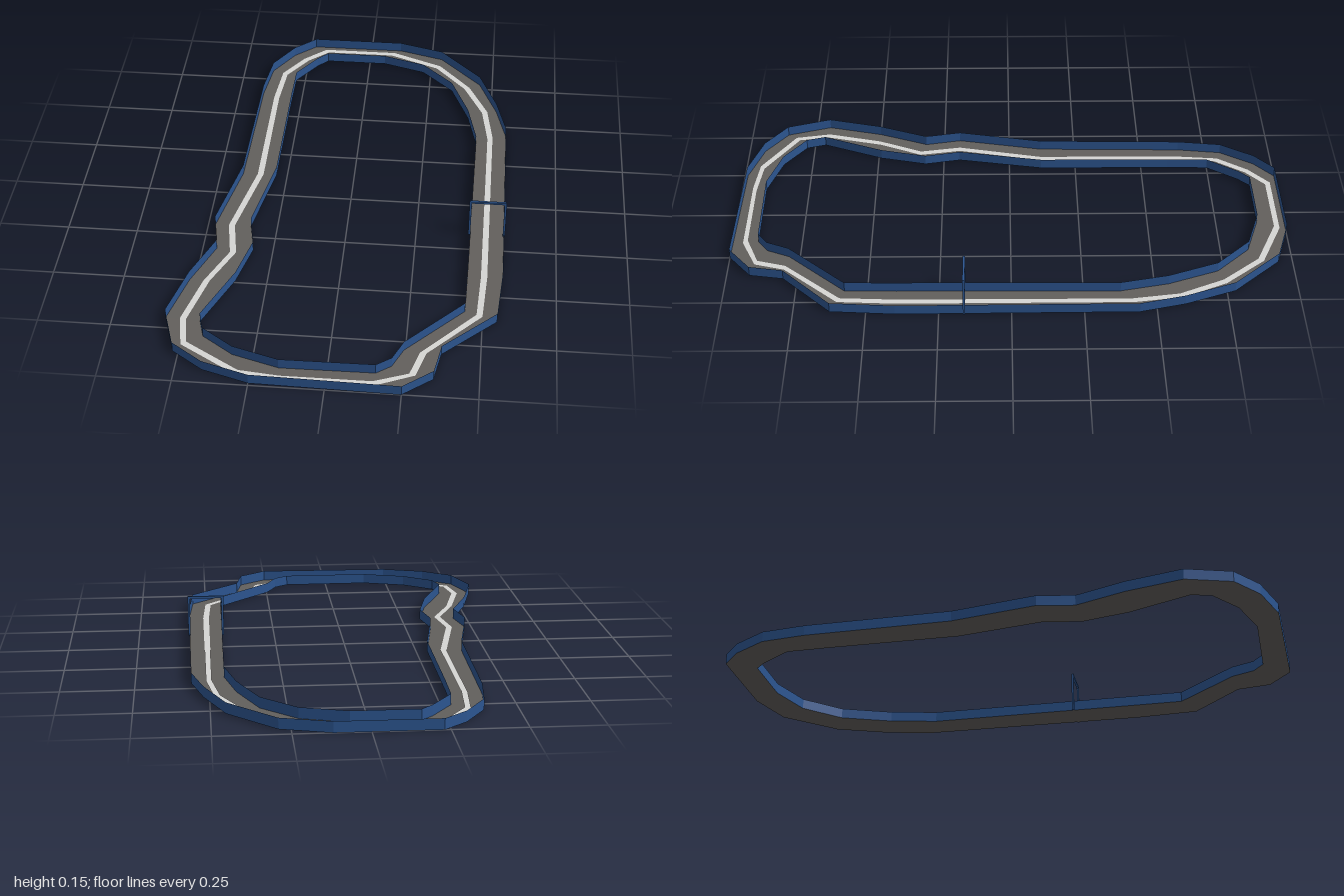
import * as THREE from 'three';

const WALL_HEIGHT = 0.038;

// Cross-sections round the circuit: outer x, z, inner x, z, centre line x, z
const SECTIONS = [
  [-0.23, -1.0, -0.17, -0.9, -0.18, -0.97],
  [0.12, -1.0, 0.06, -0.9, 0.09, -0.97],
  [0.29, -0.95, 0.22, -0.85, 0.28, -0.89],
  [0.45, -0.78, 0.34, -0.73, 0.4, -0.75],
  [0.52, -0.6, 0.41, -0.55, 0.475, -0.59],
  [0.56, -0.44, 0.447, -0.38, 0.5, -0.42],
  [0.565, 0.4, 0.442, 0.4, 0.5, 0.4],
  [0.55, 0.625, 0.44, 0.58, 0.49, 0.6],
  [0.37, 0.8, 0.245, 0.79, 0.31, 0.8],
  [0.35, 0.92, 0.21, 0.87, 0.28, 0.905],
  [0.25, 1.0, 0.16, 0.907, 0.16, 0.955],
  [-0.25, 0.99, -0.16, 0.91, -0.16, 0.955],
  [-0.41, 0.94, -0.32, 0.86, -0.3, 0.94],
  [-0.52, 0.86, -0.43, 0.78, -0.49, 0.82],
  [-0.57, 0.7, -0.45, 0.71, -0.51, 0.7],
  [-0.52, 0.5, -0.36, 0.49, -0.46, 0.5],
  [-0.45, 0.32, -0.32, 0.32, -0.39, 0.34],
  [-0.475, 0.19, -0.345, 0.19, -0.415, 0.19],
  [-0.415, -0.12, -0.29, -0.12, -0.35, -0.12],
  [-0.405, -0.65, -0.288, -0.6, -0.35, -0.62],
  [-0.385, -0.81, -0.285, -0.75, -0.335, -0.79],
  [-0.31, -0.93, -0.21, -0.86, -0.26, -0.9],
];

function makeMaterial(name, color) {
  const material = new THREE.MeshStandardMaterial({ color, side: THREE.DoubleSide });
  material.name = name;
  return material;
}

// Closed, flat-shaded ribbon between two loops of points
function ribbon(name, a, b, material) {
  const positions = [];
  a.forEach((p, i) => {
    const j = (i + 1) % a.length;
    for (const v of [p, b[i], a[j], a[j], b[i], b[j]]) positions.push(v.x, v.y, v.z);
  });
  const geometry = new THREE.BufferGeometry();
  geometry.setAttribute('position', new THREE.Float32BufferAttribute(positions, 3));
  geometry.computeVertexNormals();
  const mesh = new THREE.Mesh(geometry, material);
  mesh.name = name;
  return mesh;
}

export function createModel() {
  const asphalt = makeMaterial('asphalt grey', 0x625f5c);
  const barrierBlue = makeMaterial('barrier blue', 0x2c5590);
  const paint = makeMaterial('line white', 0xd6d6d3);
  const group = new THREE.Group();
  group.name = 'raceTrack';

  const loop = (k, y) => SECTIONS.map((s) => new THREE.Vector3(s[k], y, s[k + 1]));
  const outer = loop(0, 0);
  const inner = loop(2, 0);

  // Road and the low barriers along both edges
  group.add(ribbon('road', outer, inner, asphalt));
  group.add(ribbon('outerBarrier', outer, loop(0, WALL_HEIGHT), barrierBlue));
  group.add(ribbon('innerBarrier', loop(2, WALL_HEIGHT), inner, barrierBlue));

  // Painted centre line
  const centre = loop(4, 0.0015);
  const offset = (distance) => centre.map((p, i) => {
    const across = outer[i].clone().sub(inner[i]).setLength(distance);
    return p.clone().add(across);
  });
  group.add(ribbon('centreLine', offset(0.011), offset(-0.011), paint));

  // Start gate spanning the straight
  const gate = new THREE.Group();
  gate.name = 'startGate';
  const bar = (name, w, h, x, y) => {
    const mesh = new THREE.Mesh(new THREE.BoxGeometry(w, h, 0.008), barrierBlue);
    mesh.name = name;
    mesh.position.set(x, y, 0);
    gate.add(mesh);
  };
  for (const side of [-1, 1]) bar(side < 0 ? 'rightPost' : 'leftPost', 0.008, 0.15, side * 0.062, 0.075);
  bar('crossbar', 0.132, 0.008, 0, 0.146);
  gate.position.set(0.502, 0, 0.163);
  group.add(gate);

  return group;
}
